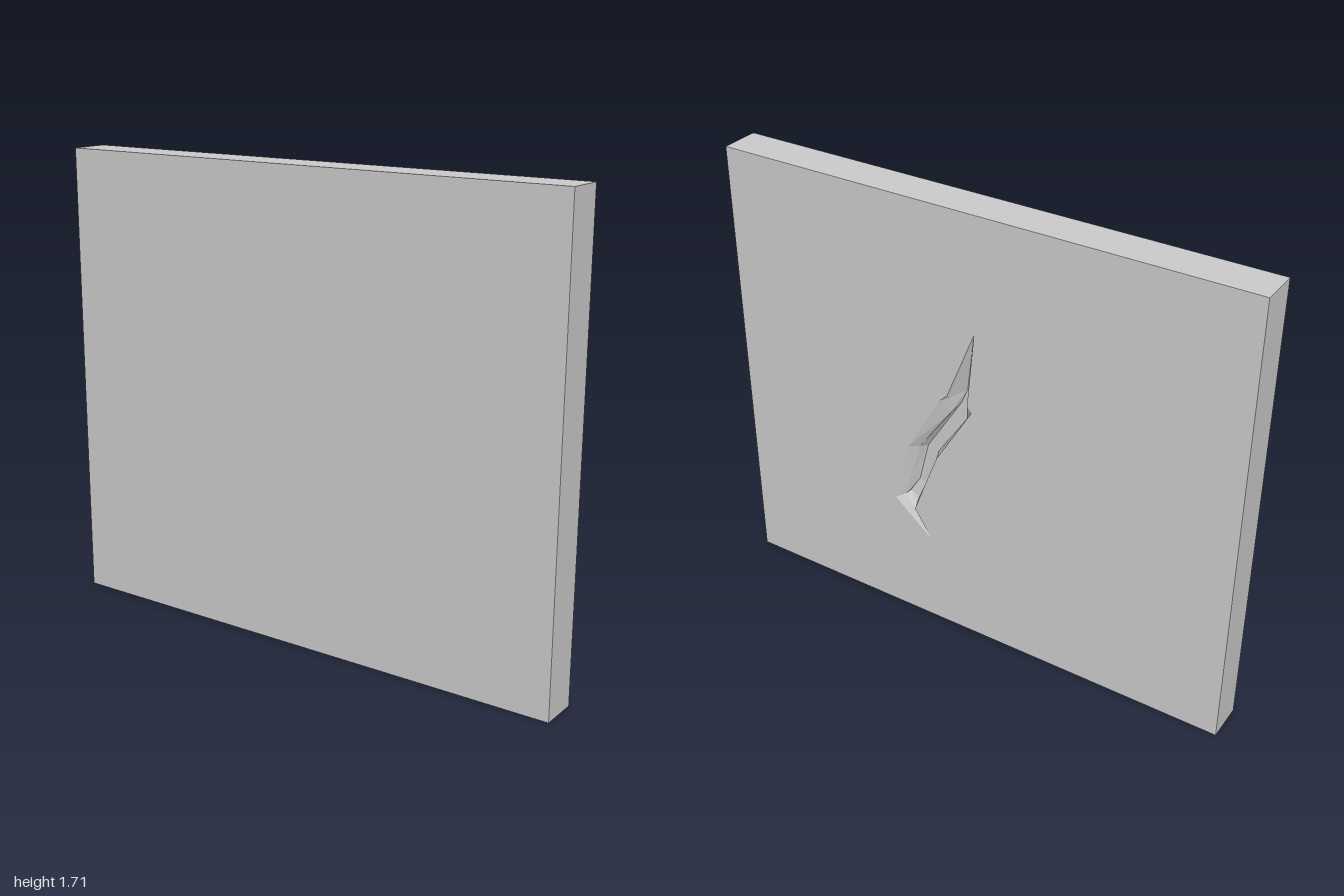
import * as THREE from 'three';

const T = 0.0725, H = 1.71, HALF = 1;

// Crack cross-sections from top tip to tail: [z, y, depth] for
// outer edge, bevel, floor edge, floor edge, opposite edge.
const top = [-0.01, 1.28, 0], tail = [0.18, 0.36, 0];
const sections = [
  Array(5).fill(top),
  [[0.10, 1.01, 0], [0.095, 1.0, 0.01], [0.045, 1.03, 0.045], [0.035, 1.0, 0.045], [0.02, 0.99, 0]],
  [[0.13, 0.98, 0], [0.10, 0.93, 0.02], [0.07, 0.97, 0.045], [0.05, 0.90, 0.045], [0.0, 0.975, 0]],
  [[0.27, 0.74, 0], [0.235, 0.74, 0.02], [0.215, 0.74, 0.045], [0.17, 0.73, 0.045], [0.15, 0.73, 0]],
  [[0.31, 0.60, 0], [0.275, 0.60, 0.02], [0.255, 0.58, 0.045], [0.22, 0.57, 0.045], [0.205, 0.59, 0]],
  [[0.335, 0.49, 0], [0.30, 0.51, 0.02], [0.29, 0.52, 0.035], [0.255, 0.50, 0.035], [0.25, 0.47, 0]],
  Array(5).fill(tail),
];

// Skin the crack between neighbouring cross-sections
function crackGeometry() {
  const pos = [];
  const put = ([z, y, d]) => pos.push(T - d, y, z);
  for (let r = 0; r < sections.length - 1; r++) {
    for (let c = 0; c < 4; c++) {
      const a = sections[r][c], b = sections[r][c + 1];
      const d = sections[r + 1][c], e = sections[r + 1][c + 1];
      if (a !== b) [a, d, b].forEach(put);
      if (d !== e) [b, d, e].forEach(put);
    }
  }
  const g = new THREE.BufferGeometry();
  g.setAttribute('position', new THREE.Float32BufferAttribute(pos, 3));
  g.computeVertexNormals();
  return g;
}

// Broad face with the crack outline cut out
function faceGeometry() {
  const v = ([z, y]) => new THREE.Vector2(-z, y);
  const shape = new THREE.Shape([[HALF, 0], [-HALF, 0], [-HALF, H], [HALF, H]].map(v));
  const left = sections.map(s => s[0]);
  const right = sections.slice(1, -1).map(s => s[4]).reverse();
  shape.holes.push(new THREE.Path([...left, ...right].map(v)));
  return new THREE.ShapeGeometry(shape).rotateY(Math.PI / 2).translate(T, 0, 0);
}

export function createModel() {
  const group = new THREE.Group();
  const material = new THREE.MeshStandardMaterial({ color: 0xcccccc, flatShading: true });
  const add = (name, geometry) => {
    const mesh = new THREE.Mesh(geometry, material);
    mesh.name = name;
    group.add(mesh);
  };

  // Slab without its +x side, which the cracked face replaces
  const slab = new THREE.BoxGeometry(2 * T, H, 2 * HALF).translate(0, H / 2, 0);
  slab.setIndex(Array.from(slab.index.array).slice(6));
  slab.clearGroups();

  add('slab', slab);
  add('crackedFace', faceGeometry());
  add('crack', crackGeometry());
  return group;
}
